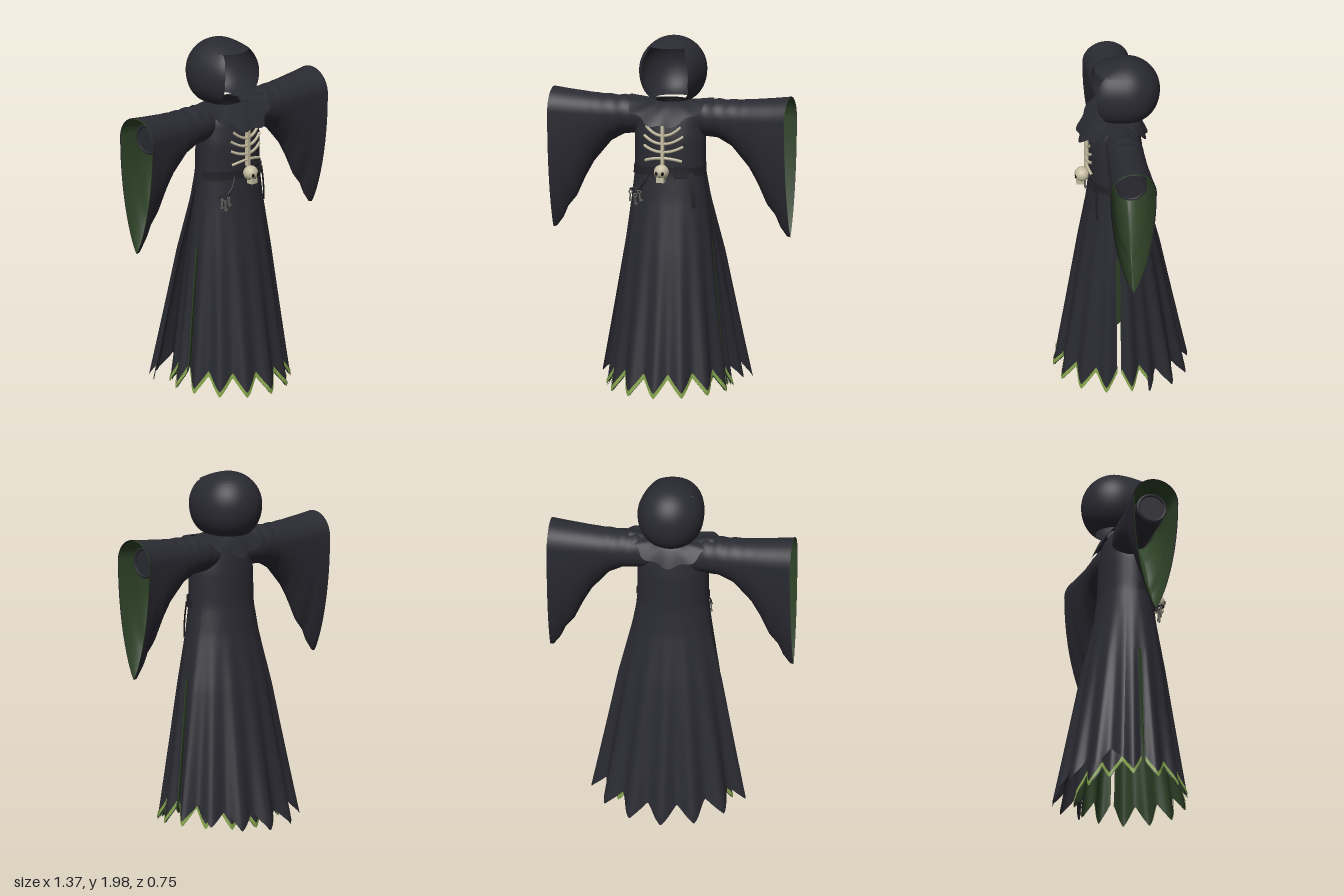
import * as THREE from 'three';

const mat = (name, color, side = THREE.DoubleSide) => {
  const m = new THREE.MeshStandardMaterial({ color, side });
  m.name = name;
  return m;
};
const { sin, cos, PI, sqrt, asin, max, min } = Math;
const clamp = (t) => min(1, max(0, t));
const mix = (a, b, t) => a + (b - a) * t;

// Piecewise linear lookup in rows [key, v1, v2, ...] with ascending keys
function lookup(rows, k, col) {
  let i = 0;
  while (i < rows.length - 2 && k > rows[i + 1][0]) i++;
  const a = rows[i], b = rows[i + 1];
  return mix(a[col], b[col], clamp((k - a[0]) / (b[0] - a[0])));
}

// Smooth sheet from a rule (u, v) -> [x, y, z]
function sheet(nu, nv, fn) {
  const pos = [], idx = [];
  for (let j = 0; j <= nv; j++) {
    for (let i = 0; i <= nu; i++) pos.push(...fn(i / nu, j / nv));
  }
  for (let j = 0; j < nv; j++) {
    for (let i = 0; i < nu; i++) {
      const a = j * (nu + 1) + i, b = a + nu + 1;
      idx.push(a, b, a + 1, a + 1, b, b + 1);
    }
  }
  const g = new THREE.BufferGeometry();
  g.setAttribute('position', new THREE.Float32BufferAttribute(pos, 3));
  g.setIndex(idx);
  g.computeVertexNormals();
  return g;
}

// y, half width and depth of: front (1, 2), back (3, 4), outer back cape (5, 6)
const BODY = [
  [0.05, 0.335, 0.315, 0.335, 0.28, 0.455, 0.395], [0.8, 0.255, 0.203, 0.255, 0.205, 0.31, 0.258],
  [1.1, 0.217, 0.151, 0.217, 0.165, 0.235, 0.19], [1.25, 0.2, 0.135, 0.2, 0.155, 0.206, 0.17],
  [1.45, 0.2, 0.135, 0.2, 0.15, 0.204, 0.162], [1.58, 0.18, 0.11, 0.18, 0.13, 0.184, 0.142],
  [1.645, 0.1, 0.06, 0.1, 0.09, 0.104, 0.1],
];
// col: first profile column, s: facing, k: folds, phase: fold sign, start: side margin, rise: hem lift at the sides
const LAYERS = {
  front: { col: 1, s: 1, k: 14, phase: -1, start: 0, rise: 0.02 },
  back: { col: 3, s: -1, k: 14, phase: -1, start: 0, rise: 0.02 },
  cape: { col: 5, s: -1, k: 16, phase: 1, start: 0.38, rise: 0.08 },
};
const wave = (L, a) => L.phase * cos(L.k * a);
const hem = (L, a) => 0.068 - 0.056 * asin(wave(L, a) * 0.99) * 2 / PI + L.rise * cos(a) ** 2;
const angle = (L, u) => mix(L.start, PI - L.start, L.s > 0 ? 1 - u : u);

// Point on a robe layer; a runs 0..PI from the left side to the right side
function robe(L, a, y, off = 0) {
  const fold = 1 + 0.05 * clamp((1.15 - y) / 1.1) * wave(L, a);
  const gap = y < 0.85 ? 0.011 * max(0, 1 - 4 * sin(a)) : 0;
  return [
    (lookup(BODY, y, L.col) * fold + off) * cos(a), y,
    0.047 + L.s * (gap + (lookup(BODY, y, L.col + 1) * fold + off) * sin(a)),
  ];
}

// x, top, bottom, half depth
const SLEEVE = [
  [0.1, 1.63, 1.46, 0.085], [0.2, 1.658, 1.45, 0.1], [0.27, 1.66, 1.445, 0.104], [0.35, 1.66, 1.4, 0.106],
  [0.45, 1.665, 1.28, 0.11], [0.5, 1.67, 1.19, 0.114], [0.55, 1.675, 1.08, 0.118], [0.6, 1.68, 1.02, 0.121],
  [0.625, 1.683, 0.96, 0.123], [0.665, 1.688, 0.905, 0.127], [0.685, 1.69, 0.9, 0.13],
];
function sleeve(u, x, off = 0) {
  const t = u * 2 * PI, hw = lookup(SLEEVE, x, 3) - off;
  const ruck = 0.003 * sin(x * 75) * clamp((0.5 - x) * 5);
  const top = lookup(SLEEVE, x, 1) - off + ruck, bottom = lookup(SLEEVE, x, 2) + off;
  const yc = top - hw, c = cos(t);
  if (c >= 0) return [x, yc + hw * c, 0.01 + hw * sin(t)];
  const power = 1 + 0.6 * clamp((x - 0.25) / 0.35);
  return [x, yc + (yc - bottom) * c, 0.01 + hw * Math.sign(sin(t)) * Math.abs(sin(t)) ** power];
}

// Hood point by height and azimuth, with the brim drawn forward
const hoodRadius = (y) => {
  const e = clamp(1 - ((y - 1.815) / 0.185) ** 2);
  return 0.185 * (y > 1.815 ? sqrt(e) : e ** 0.36);
};
function hood(y, az) {
  const r = hoodRadius(y), q = clamp(cos(az) / 0.65);
  const brim = 0.055 * q * q * (3 - 2 * q) * clamp((2 - y) / 0.05);
  return [r * sin(az), y, -0.03 + r * cos(az) + brim];
}
const OPENING = [[1.645, 0.09], [1.7, 0.125], [1.8, 0.135], [1.88, 0.127], [1.95, 0.1]];

export function createModel() {
  const root = new THREE.Group();
  const cloth = mat('charcoal cloth', 0x2a2a32);
  const lining = mat('green lining', 0x2e4227);
  const trim = mat('light green trim', 0x86a54c);
  const bone = mat('bone', 0xc6bea2, THREE.FrontSide);
  const leather = mat('dark leather', 0x232328);
  const metal = mat('dull metal', 0x66665f, THREE.FrontSide);
  const black = mat('black', 0x0c0c0e);
  const add = (name, geo, m, x = 0, y = 0, z = 0, parent = root) => {
    const o = new THREE.Mesh(geo, m);
    o.name = name;
    o.position.set(x, y, z);
    parent.add(o);
    return o;
  };
  const tube = (pts, r, n = 14) =>
    new THREE.TubeGeometry(new THREE.CatmullRomCurve3(pts.map((p) => new THREE.Vector3(...p))), n, r, 6);

  // Robe layers: lined and trimmed front and back, split at the sides, under a plain back cape
  for (const [n, L] of Object.entries(LAYERS)) {
    add(n + 'Robe', sheet(168, 56, (u, v) => {
      const a = angle(L, u);
      return robe(L, a, mix(1.645, hem(L, a), v));
    }), cloth);
    if (n === 'cape') continue;
    add(n + 'Lining', sheet(168, 30, (u, v) => {
      const a = angle(L, u);
      return robe(L, a, mix(1.2, hem(L, a) + 0.002, v), -0.008);
    }), lining);
    add(n + 'HemTrim', sheet(168, 1, (u, v) => {
      const a = angle(L, u);
      return robe(L, a, hem(L, a) - 0.002 + 0.03 * (1 - v), 0.005);
    }), trim);
  }

  // Wide hanging sleeves with lining and inner cuff
  for (const s of [1, -1]) {
    const arm = new THREE.Group();
    arm.name = s > 0 ? 'leftSleeve' : 'rightSleeve';
    arm.scale.x = s;
    root.add(arm);
    add('sleeveCloth', sheet(56, 60, (u, v) => sleeve(u, mix(0.1, 0.685, v))), cloth, 0, 0, 0, arm);
    add('sleeveLining', sheet(56, 30, (u, v) => sleeve(u, mix(0.3, 0.685, v), 0.006)), lining, 0, 0, 0, arm);
    const inner = add('innerSleeve', new THREE.CylinderGeometry(0.088, 0.088, 0.4, 28), cloth, 0.4, 1.55, 0.012, arm);
    inner.rotation.z = PI / 2;
    const cuff = add('innerCuff', new THREE.TorusGeometry(0.078, 0.008, 6, 28), cloth, 0.6, 1.55, 0.012, arm);
    cuff.rotation.y = PI / 2;
  }

  // Hood: closed crown above an open-faced shell
  add('hoodCrown', sheet(64, 14, (u, v) =>
    hood(1.815 + 0.185 * cos(v * asin(sqrt(1 - (0.135 / 0.185) ** 2))), u * 2 * PI)), cloth);
  add('hoodShell', sheet(64, 24, (u, v) => {
    const y = mix(1.95, 1.65, v);
    const open = asin(min(0.95, lookup(OPENING, y, 1) / hoodRadius(y)));
    return hood(y, mix(open, 2 * PI - open, u));
  }), cloth);

  // Ragged capelet lying over the shoulders
  add('shoulderCape', sheet(128, 10, (u, v) => {
    const c = u * 2 * PI, s = sin(c);
    const rag = 1 + 0.045 * sin(11 * c) * v;
    const drop = v ** 1.6 * s * s * (s > 0 ? 0.125 : 0.115) + 0.008 * v * sin(11 * c);
    return [
      -mix(0.09, 0.25, v) * rag * cos(c),
      1.648 + 0.012 * v * cos(c) ** 2 - drop,
      0.02 + s * mix(0.09, s > 0 ? 0.225 : 0.16, v) * rag,
    ];
  }), cloth);

  // Belt, buckle and hanging strap
  add('belt', sheet(48, 3, (u, v) =>
    robe(LAYERS.front, (1 - u) * PI, mix(1.288, 1.238, v), 0.006)), leather);
  const buckle = new THREE.Group();
  buckle.name = 'buckle';
  buckle.position.set(0.1, 1.262, 0.172);
  buckle.rotation.y = 0.33;
  root.add(buckle);
  for (const s of [1, -1]) {
    add('buckleBar', new THREE.BoxGeometry(0.075, 0.009, 0.012), leather, 0, s * 0.03, 0, buckle);
    add('buckleSide', new THREE.BoxGeometry(0.009, 0.068, 0.012), leather, s * 0.034, 0, 0, buckle);
  }
  add('bucklePin', new THREE.BoxGeometry(0.06, 0.008, 0.012), leather, 0, 0, 0.003, buckle);
  add('hangingStrap', sheet(2, 12, (u, v) => [
    0.14 + 0.024 * u + 0.018 * v, 1.26 - 0.2 * v, 0.158 - 0.012 * u + 0.006 * sin(v * PI),
  ]), leather);

  // Breastbone and ribs lying on the chest
  const chestZ = (x) => 0.062 + 0.135 * sqrt(1 - (x / 0.2) ** 2);
  add('breastbone', new THREE.BoxGeometry(0.018, 0.23, 0.022), bone, 0, 1.42, 0.197);
  [[1.468, 0.1, 0.05], [1.422, 0.113, 0.043], [1.376, 0.113, 0.032], [1.342, 0.105, -0.018]].forEach(([y, w, rise]) => {
    for (const s of [1, -1]) {
      const pts = [0, 0.3, 0.55, 0.8, 1].map((t) => [s * w * t, y + rise * t * t, chestZ(w * t)]);
      add('rib', tube(pts, 0.0085), bone);
    }
  });

  // Skull clasp
  const skull = new THREE.Group();
  skull.name = 'skullClasp';
  skull.position.set(0, 1.268, 0.22);
  root.add(skull);
  add('cranium', new THREE.SphereGeometry(0.042, 24, 18), bone, 0, 0, 0, skull);
  add('jaw', new THREE.BoxGeometry(0.042, 0.03, 0.04), bone, 0, -0.042, 0.012, skull);
  for (const s of [1, -1]) {
    const eye = add('eyeSocket', new THREE.SphereGeometry(0.011, 12, 8), black, s * 0.016, -0.004, 0.037, skull);
    eye.scale.z = 0.4;
  }
  add('noseHole', new THREE.ConeGeometry(0.005, 0.01, 3), black, 0, -0.02, 0.037, skull);

  // Keys on a cord at the right hip
  add('keyCord', tube([[-0.085, 1.25, 0.18], [-0.11, 1.2, 0.186], [-0.135, 1.165, 0.18]], 0.006), leather);
  const ring = add('keyRing', new THREE.TorusGeometry(0.03, 0.005, 6, 20), leather, -0.16, 1.158, 0.18);
  ring.rotation.x = 1.2;
  [-0.188, -0.162, -0.138].forEach((x, i) => {
    const key = new THREE.Group();
    key.name = 'key';
    key.position.set(x, 1.145 - (i === 1 ? 0.02 : 0), 0.185);
    key.rotation.z = (i - 1) * 0.12;
    root.add(key);
    add('keyBow', new THREE.TorusGeometry(0.009, 0.004, 5, 12), metal, 0, 0, 0, key);
    add('keyStem', new THREE.BoxGeometry(0.007, 0.045, 0.007), metal, 0, -0.03, 0, key);
    add('keyBit', new THREE.BoxGeometry(0.016, 0.012, 0.006), metal, 0.006, -0.046, 0, key);
  });
  return root;
}
